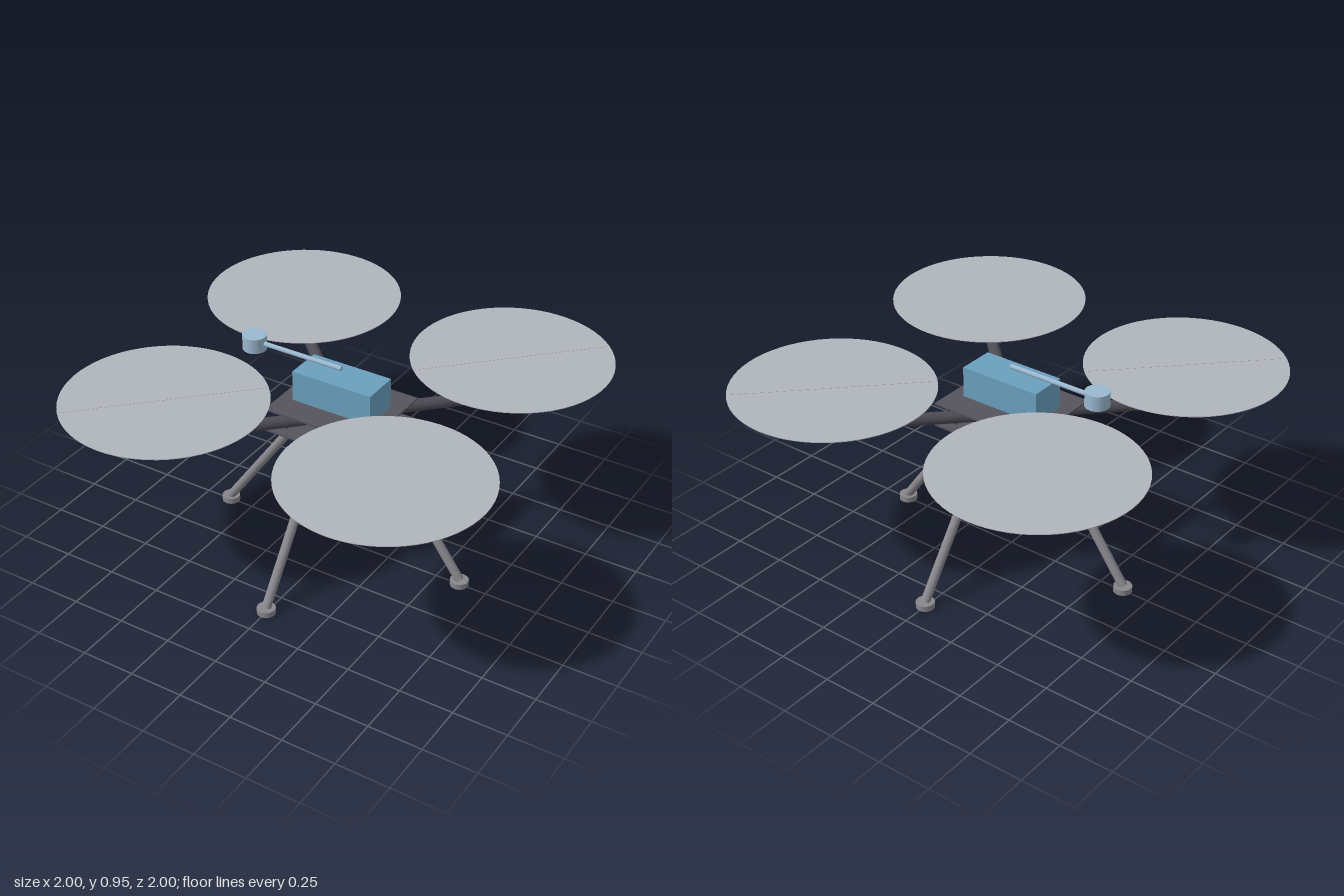
import * as THREE from 'three';

const mat = (name, color) => {
  const m = new THREE.MeshStandardMaterial({ color });
  m.name = name;
  return m;
};

export function createModel() {
  const rotorGrey = mat('rotor grey', 0xb0b5bc);
  const plateDark = mat('plate charcoal', 0x55545e);
  const armDark = mat('arm charcoal', 0x4c4a53);
  const legGrey = mat('leg grey', 0x86868c);
  const brass = mat('motor brass', 0xc8a25a);
  const red = mat('mount red', 0xcc626c);
  const blue = mat('housing blue', 0x6a9fbd);
  const paleBlue = mat('mast pale blue', 0x9ab8d0);

  const root = new THREE.Group();
  root.name = 'quadcopter';

  const add = (name, geo, material, x, y, z) => {
    const mesh = new THREE.Mesh(geo, material);
    mesh.name = name;
    mesh.position.set(x, y, z);
    root.add(mesh);
    return mesh;
  };
  const cyl = (r, h, n = 24) => new THREE.CylinderGeometry(r, r, h, n);
  // Round bar between two points
  const bar = (name, a, b, r, material) => {
    const dir = b.clone().sub(a);
    const mid = a.clone().add(b).multiplyScalar(0.5);
    const mesh = add(name, cyl(r, dir.length()), material, mid.x, mid.y, mid.z);
    mesh.quaternion.setFromUnitVectors(new THREE.Vector3(0, 1, 0), dir.normalize());
    return mesh;
  };
  const V = (x, y, z) => new THREE.Vector3(x, y, z);

  // Frame plates
  for (const [name, y] of [['topPlate', 0.741], ['bottomPlate', 0.634]])
    add(name, new THREE.BoxGeometry(0.52, 0.008, 0.426), plateDark, 0, y, 0);

  // Central hub between the plates
  add('hub', new THREE.SphereGeometry(0.035, 16, 12), red, 0, 0.655, 0);

  // Everything repeated at the four corners
  for (const sx of [-1, 1]) for (const sz of [-1, 1]) {
    const x = sx * 0.547, z = sz * 0.547;
    bar('arm', V(0, 0.688, 0), V(x, 0.688, z), 0.028, armDark);
    add('motor', cyl(0.049, 0.116), brass, x, 0.8, z);
    add('rotorDisc', cyl(0.453, 0.003, 64), rotorGrey, x, 0.872, z);
    const blade = add('rotorBlade', new THREE.BoxGeometry(0.9, 0.005, 0.008), rotorGrey, x, 0.872, z);
    blade.rotation.y = -Math.atan2(sz, sx);
    add('standoff', cyl(0.01, 0.107, 12), armDark, sx * 0.19, 0.687, sz * 0.153);
    add('payloadRod', cyl(0.017, 0.145, 16), red, sx * 0.147, 0.56, sz * 0.13);
  }

  // Splayed legs with round feet, one on each side
  for (let i = 0; i < 4; i++) {
    const c = Math.round(Math.cos(i * Math.PI / 2)), s = Math.round(Math.sin(i * Math.PI / 2));
    bar('leg', V(c * 0.185, 0.634, s * 0.185), V(c * 0.618, 0.025, s * 0.618), 0.021, legGrey);
    add('foot', cyl(0.042, 0.027), legGrey, c * 0.618, 0.0135, s * 0.618);
  }

  // Hanging payload and electronics housing
  add('payload', new THREE.BoxGeometry(0.37, 0.132, 0.306), rotorGrey, 0, 0.424, 0);
  add('housing', new THREE.BoxGeometry(0.395, 0.145, 0.175), blue, 0, 0.8165, 0);

  // Sideways mast with antenna puck
  bar('mast', V(0, 0.922, 0), V(-0.453, 0.922, 0), 0.011, paleBlue);
  add('antenna', cyl(0.055, 0.07, 32), paleBlue, -0.453, 0.92, 0);

  return root;
}
